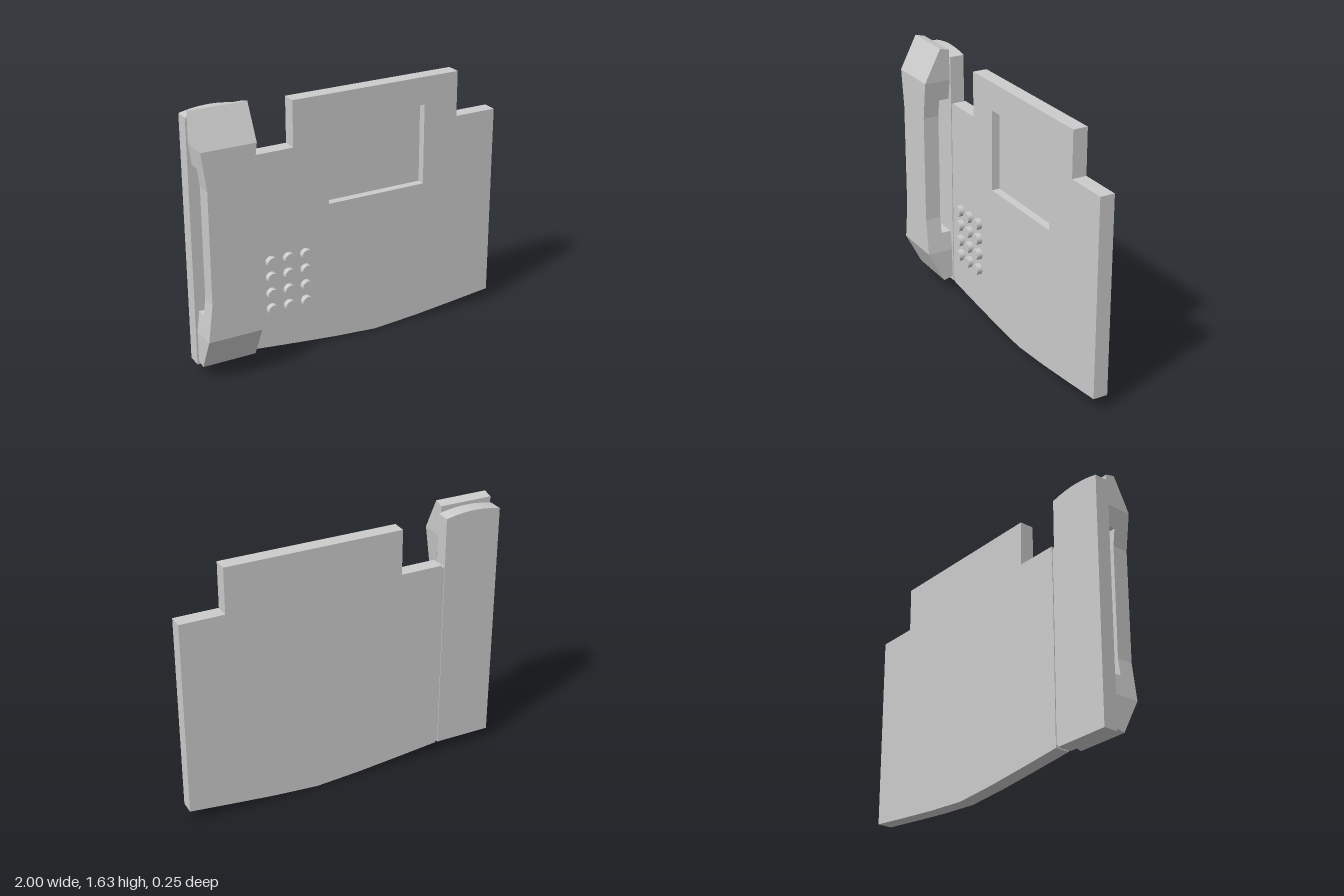
import * as THREE from 'three';

const BACK = -0.125, FRONT = -0.035;

export function createModel() {
  const group = new THREE.Group();
  const grey = new THREE.MeshStandardMaterial({ color: 0xcccccc });
  const flat = new THREE.MeshStandardMaterial({ color: 0xcccccc, flatShading: true });

  const add = (name, geometry, material = flat, parent = group) => {
    const mesh = new THREE.Mesh(geometry, material);
    mesh.name = name;
    parent.add(mesh);
    return mesh;
  };
  const toShape = (pts) => new THREE.Shape(pts.map(([x, y]) => new THREE.Vector2(x, y)));
  const slab = (shape, z0, z1) =>
    new THREE.ExtrudeGeometry(shape, { depth: z1 - z0, bevelEnabled: false }).translate(0, 0, z0);

  // Main body: stepped top, bowed bottom edge, front layer pierced by the screen recess
  const outline = [
    [-0.63, 0.075], [-0.36, 0.046], [-0.09, 0.019], [0.185, 0], [0.46, 0.019], [0.73, 0.046], [1, 0.075],
    [1, 1.29], [0.73, 1.29], [0.73, 1.57], [-0.36, 1.57], [-0.36, 1.29], [-0.625, 1.29], [-0.63, 1.02],
  ];
  const recessFloor = FRONT - 0.05;
  const frontShape = toShape(outline);
  frontShape.holes.push(new THREE.Path(
    [[-0.135, 0.9], [-0.135, 1.4], [0.505, 1.4], [0.505, 0.9]].map(([x, y]) => new THREE.Vector2(x, y))));
  add('bodyBack', slab(toShape(outline), BACK, recessFloor));
  add('bodyFrontWithScreenRecess', slab(frontShape, recessFloor, FRONT));

  // Cradle panel with a gently arched top
  const cradle = [[-1, 0.075], [-0.645, 0.075]];
  for (let i = 0; i <= 6; i++) {
    const t = 1 - i / 3;
    cradle.push([-0.8225 + 0.1775 * t, 1.6 - 0.022 * t * t]);
  }
  add('cradlePanel', slab(toShape(cradle), BACK, FRONT));

  // Recessed strip joining cradle and body
  add('joiningStrip', new THREE.BoxGeometry(0.025, 1.185, 0.08).translate(-0.637, 0.6825, -0.08));

  // Handset: upper half stations [yBack, zBack, yFront, zFront], mirrored for the lower half
  const upper = [
    [1.62, FRONT, 1.635, 0.025], [1.43, FRONT, 1.43, 0.13], [1.305, FRONT, 1.305, 0.13],
    [1.305, 0.03, 1.305, 0.13], [1.2, 0.03, 1.2, 0.13],
  ];
  const lower = upper.map(([yb, zb, yf, zf]) => [1.72 - yb, zb, 1.72 - yf, zf]).reverse();
  add('handset', handsetGeometry([...upper, ...lower])).position.x = -0.825;

  // Keypad
  const keypad = new THREE.Group();
  keypad.name = 'keypad';
  group.add(keypad);
  const key = new THREE.CylinderGeometry(0.035, 0.035, 0.04, 28).rotateX(Math.PI / 2);
  for (const y of [0.315, 0.417, 0.52, 0.62]) {
    for (const x of [-0.518, -0.406, -0.294]) {
      add('key', key, grey, keypad).position.set(x, y, -0.02);
    }
  }
  return group;
}

// Lofts rectangular sections from top to bottom, narrowing at the grip
function handsetGeometry(stations) {
  const halfWidth = (y) =>
    THREE.MathUtils.mapLinear(THREE.MathUtils.clamp(Math.abs(y - 0.86), 0.34, 0.57), 0.34, 0.57, 0.135, 0.165);
  const rings = stations.map(([yb, zb, yf, zf]) => {
    const f = halfWidth(yf), b = halfWidth(yb);
    return [[-f, yf, zf], [f, yf, zf], [b, yb, zb], [-b, yb, zb]].map((p) => new THREE.Vector3(...p));
  });
  const positions = [];
  const tri = (a, b, c) => {
    if (new THREE.Triangle(a, b, c).getArea() < 1e-7) return;
    for (const p of [a, b, c]) positions.push(p.x, p.y, p.z);
  };
  const quad = (a, b, c, d) => { tri(a, b, c); tri(a, c, d); };

  for (let s = 0; s < rings.length - 1; s++) {
    const [t, u] = [rings[s], rings[s + 1]];
    for (let i = 0; i < 4; i++) {
      const j = (i + 1) % 4;
      quad(t[i], u[i], u[j], t[j]);
    }
  }
  quad(...rings[0]);
  quad(...[...rings[rings.length - 1]].reverse());

  const geometry = new THREE.BufferGeometry();
  geometry.setAttribute('position', new THREE.Float32BufferAttribute(positions, 3));
  geometry.computeVertexNormals();
  return geometry;
}
